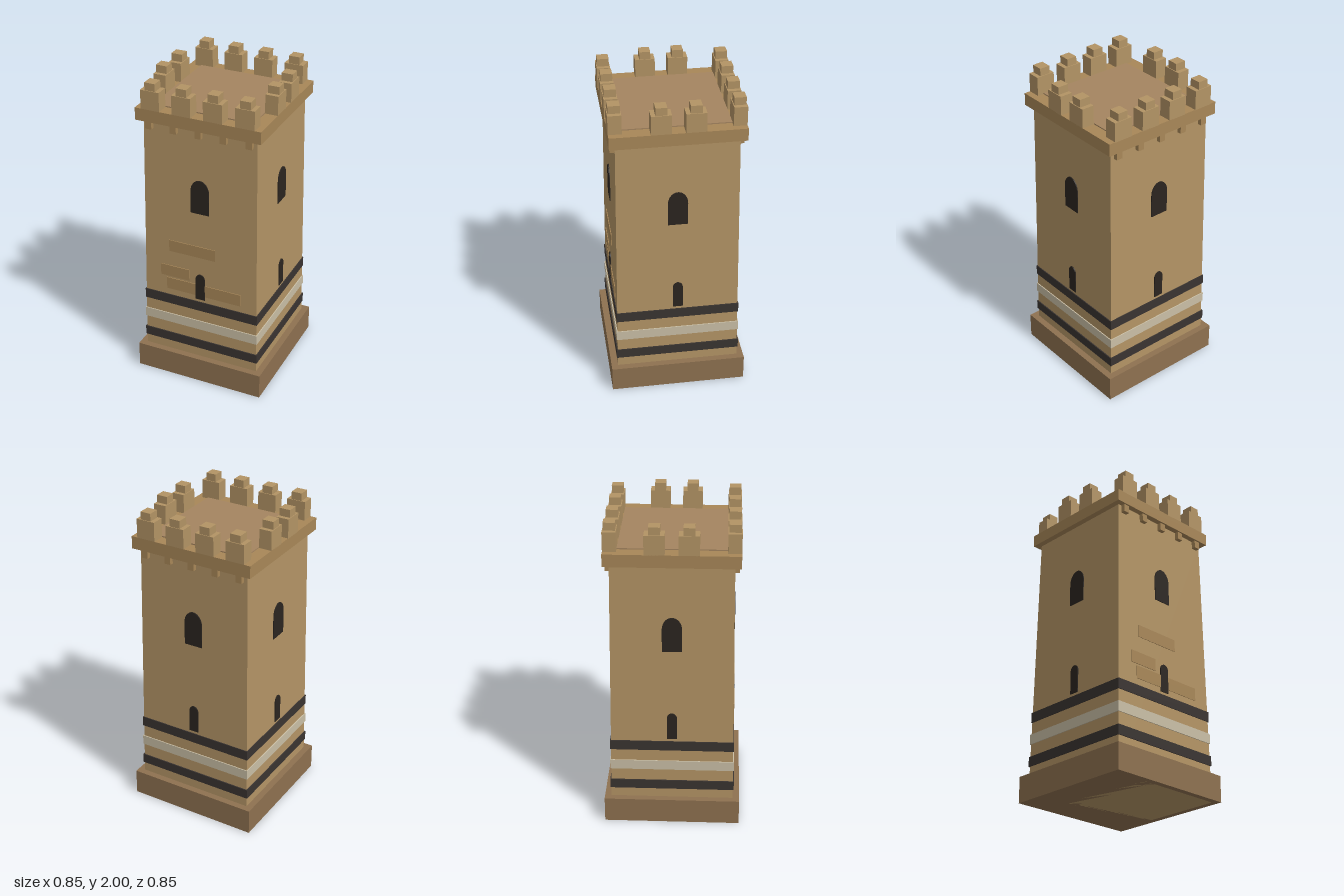
import * as THREE from 'three';

const mat = (color) => new THREE.MeshStandardMaterial({ color, flatShading: true });

export function createModel() {
  const tower = new THREE.Group();
  tower.name = 'tower';

  const stone = mat(0xb39465);
  const trim = mat(0xa88758);
  const plinthStone = mat(0x8e7150);
  const deck = mat(0xa58560);
  const opening = mat(0x2b2520);
  const darkBand = mat(0x3a3431);
  const lightBand = mat(0xcabfa6);

  const add = (name, geometry, material, x, y, z, parent = tower) => {
    const mesh = new THREE.Mesh(geometry, material);
    mesh.name = name;
    mesh.position.set(x, y, z);
    parent.add(mesh);
    return mesh;
  };
  // Box given by its centre in x and z, and its bottom and top
  const block = (name, material, w, d, y0, y1, x = 0, z = 0, parent = tower) =>
    add(name, new THREE.BoxGeometry(w, y1 - y0, d), material, x, (y0 + y1) / 2, z, parent);

  // Plinth and tapered shaft
  block('plinth', plinthStone, 0.85, 0.85, 0, 0.165);
  const shaftGeometry = new THREE.CylinderGeometry(0.363 * Math.SQRT2, 0.386 * Math.SQRT2, 1.755, 4);
  shaftGeometry.rotateY(Math.PI / 4);
  add('shaft', shaftGeometry, stone, 0, 0.8775, 0);

  // Painted bands around the foot
  block('lowerDarkBand', darkBand, 0.778, 0.778, 0.228, 0.29);
  block('lightBand', lightBand, 0.773, 0.773, 0.37, 0.434);
  block('upperDarkBand', darkBand, 0.768, 0.768, 0.511, 0.576);

  // Cornice and roof deck
  block('cornice', trim, 0.8, 0.8, 1.755, 1.833);
  block('roofDeck', deck, 0.64, 0.64, 1.8, 1.84);

  // Arched opening: straight jambs under a half ellipse
  const archGeometry = (halfWidth, spring, height, depth) => {
    const shape = new THREE.Shape();
    shape.moveTo(-halfWidth, 0);
    shape.lineTo(halfWidth, 0);
    shape.lineTo(halfWidth, spring);
    shape.absellipse(0, spring, halfWidth, height - spring, 0, Math.PI, false, 0);
    shape.closePath();
    return new THREE.ExtrudeGeometry(shape, { depth, bevelEnabled: false, curveSegments: 12 });
  };
  const windowGeometry = archGeometry(0.06, 0.145, 0.223, 0.03);
  const slitGeometry = archGeometry(0.031, 0.143, 0.18, 0.03);

  // One merlon with its smaller cap
  const merlon = (x, parent) => {
    block('merlon', stone, 0.12, 0.08, 1.83, 1.952, x, 0.36, parent);
    block('merlonCap', stone, 0.067, 0.07, 1.95, 2, x, 0.36, parent);
  };

  // Four sides, each built facing +z and turned into place
  ['front', 'left', 'back', 'right'].forEach((sideName, i) => {
    const side = new THREE.Group();
    side.name = sideName + 'Side';
    side.rotation.y = (i * Math.PI) / 2;
    tower.add(side);

    add('window', windowGeometry, opening, 0, 1.2, 0.344, side);
    add('arrowSlit', slitGeometry, opening, 0, 0.595, 0.353, side);

    const isMain = i % 2 === 0;
    for (const x of isMain ? [-0.3, -0.1, 0.1, 0.3] : [-0.1, 0.1]) merlon(x, side);

    // Corbels under the cornice on the front and back only
    if (isMain) {
      for (let k = -2; k <= 2; k++) {
        block('corbel', trim, 0.04, 0.04, 1.705, 1.757, k * 0.16, 0.37, side);
      }
    }
  });

  // Raised stones on the front: left, right, bottom, top, face depth
  const stones = [
    [-0.21, 0.1, 0.895, 0.972, 0.378],
    [-0.27, -0.075, 0.713, 0.79, 0.3805],
    [-0.23, 0.27, 0.62, 0.7, 0.3815],
  ];
  for (const [x0, x1, y0, y1, face] of stones) {
    block('raisedStone', trim, x1 - x0, 0.03, y0, y1, (x0 + x1) / 2, face - 0.015);
  }

  return tower;
}
